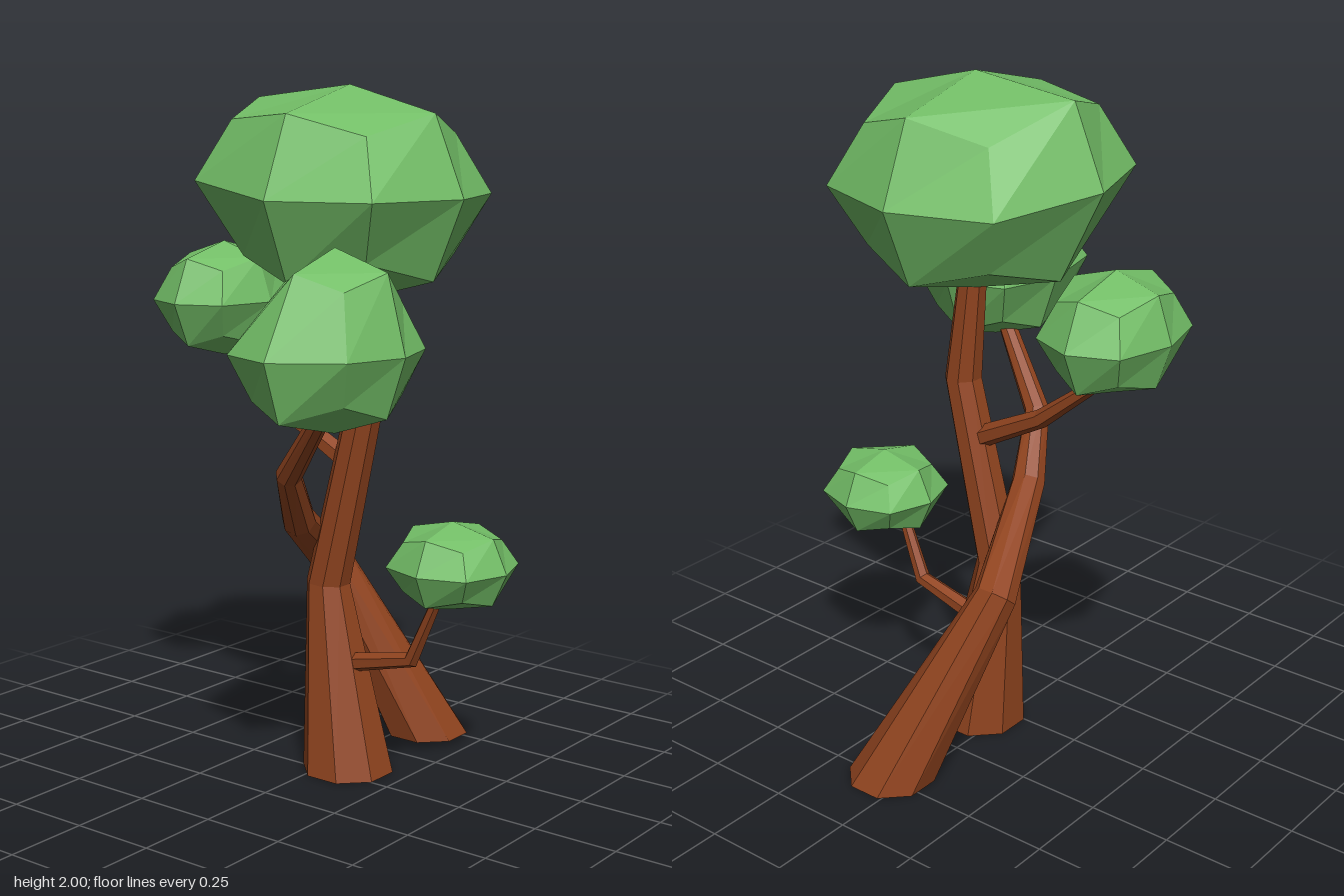
import * as THREE from 'three';

const bark = new THREE.MeshStandardMaterial({ name: 'bark', color: 0x91441f, flatShading: true });
const leaf = new THREE.MeshStandardMaterial({ name: 'leaf', color: 0x72bd66, flatShading: true });

// Tapered, bent limb through points [x, y, z, radius], capped at both ends
function limb(name, points, sides, grounded = false) {
  const centres = points.map(([x, y, z]) => new THREE.Vector3(x, y, z));
  const up = new THREE.Vector3(0, 1, 0);
  const positions = [];
  const index = [];
  centres.forEach((c, i) => {
    const before = centres[Math.max(i - 1, 0)];
    const after = centres[Math.min(i + 1, centres.length - 1)];
    const dir = new THREE.Vector3();
    if (before !== c) dir.add(c.clone().sub(before).normalize());
    if (after !== c) dir.add(after.clone().sub(c).normalize());
    dir.normalize();
    if (grounded && i === 0) dir.copy(up);
    const turn = new THREE.Quaternion().setFromUnitVectors(up, dir);
    for (let k = 0; k < sides; k++) {
      const a = ((k + 0.5) / sides) * Math.PI * 2;
      const p = new THREE.Vector3(Math.sin(a), 0, Math.cos(a));
      p.multiplyScalar(points[i][3]).applyQuaternion(turn).add(c);
      positions.push(p.x, p.y, p.z);
    }
  });
  const last = (centres.length - 1) * sides;
  for (let i = 0; i < last; i += sides) {
    for (let k = 0; k < sides; k++) {
      const n = (k + 1) % sides;
      index.push(i + k, i + n, i + sides + n, i + k, i + sides + n, i + sides + k);
    }
  }
  for (let k = 1; k < sides - 1; k++) {
    index.push(0, k + 1, k);
    index.push(last, last + k, last + k + 1);
  }
  const indexed = new THREE.BufferGeometry();
  indexed.setAttribute('position', new THREE.Float32BufferAttribute(positions, 3));
  indexed.setIndex(index);
  const geometry = indexed.toNonIndexed();
  geometry.computeVertexNormals();
  const mesh = new THREE.Mesh(geometry, bark);
  mesh.name = name;
  return mesh;
}

// Rounded cube crown; each pull shifts one quarter face, given by its axis and the corner it touches
function crown(name, centre, half, pulls = []) {
  const geometry = new THREE.BoxGeometry(2, 2, 2, 2, 2, 2).toNonIndexed();
  const pos = geometry.attributes.position;
  const rounding = [0, 1, 0.75, 5 / 9];
  for (let i = 0; i < pos.count; i++) {
    const grid = [pos.getX(i), pos.getY(i), pos.getZ(i)].map(Math.round);
    const scale = rounding[grid.filter((v) => v !== 0).length];
    const p = grid.map((v, a) => centre[a] + v * scale * half[a]);
    for (const { axis, corner, shift } of pulls) {
      const inside = grid.every((v, a) => v === corner[a] || (a !== axis && v === 0));
      if (inside) shift.forEach((s, a) => { p[a] += s; });
    }
    pos.setXYZ(i, ...p);
  }
  geometry.computeVertexNormals();
  const mesh = new THREE.Mesh(geometry, leaf);
  mesh.name = name;
  return mesh;
}

export function createModel() {
  const tree = new THREE.Group();
  tree.name = 'tree';

  // Main trunk and the second stem that crosses it from back to front
  tree.add(limb('mainTrunk', [
    [0.067, 0, -0.055, 0.137], [-0.01, 0.56, -0.06, 0.066],
    [0.122, 1.1, -0.055, 0.055], [0.08, 1.46, -0.055, 0.04],
  ], 8, true));
  tree.add(limb('crossingStem', [
    [0.06, 0, -0.475, 0.13], [-0.16, 0.57, -0.265, 0.062],
    [-0.025, 0.765, 0.06, 0.05], [0.05, 0.93, 0.2, 0.038], [0.26, 1.15, 0.31, 0.026],
  ], 8, true));

  // Side branches
  tree.add(limb('rightBranch', [
    [0.08, 0.92, -0.06, 0.034], [-0.17, 1.05, -0.07, 0.027], [-0.41, 1.24, -0.08, 0.016],
  ], 6));
  tree.add(limb('leftBranch', [
    [0.05, 0.325, -0.05, 0.03], [0.305, 0.385, -0.04, 0.024], [0.41, 0.59, -0.015, 0.016],
  ], 6));

  // Leaf crowns
  tree.add(crown('topCrown', [0.055, 1.695, -0.072], [0.385, 0.305, 0.383],
    [{ axis: 0, corner: [-1, 1, 1], shift: [-0.04, 0.04, 0] }]));
  tree.add(crown('frontCrown', [0.29, 1.315, 0.305], [0.228, 0.222, 0.23], [
    { axis: 1, corner: [1, 1, 1], shift: [0, 0.048, 0] },
    { axis: 2, corner: [-1, -1, 1], shift: [0, 0, 0.063] },
  ]));
  tree.add(crown('rightCrown', [-0.42, 1.368, -0.08], [0.18, 0.172, 0.225]));
  tree.add(crown('leftCrown', [0.415, 0.673, -0.077], [0.18, 0.127, 0.178]));
  return tree;
}
